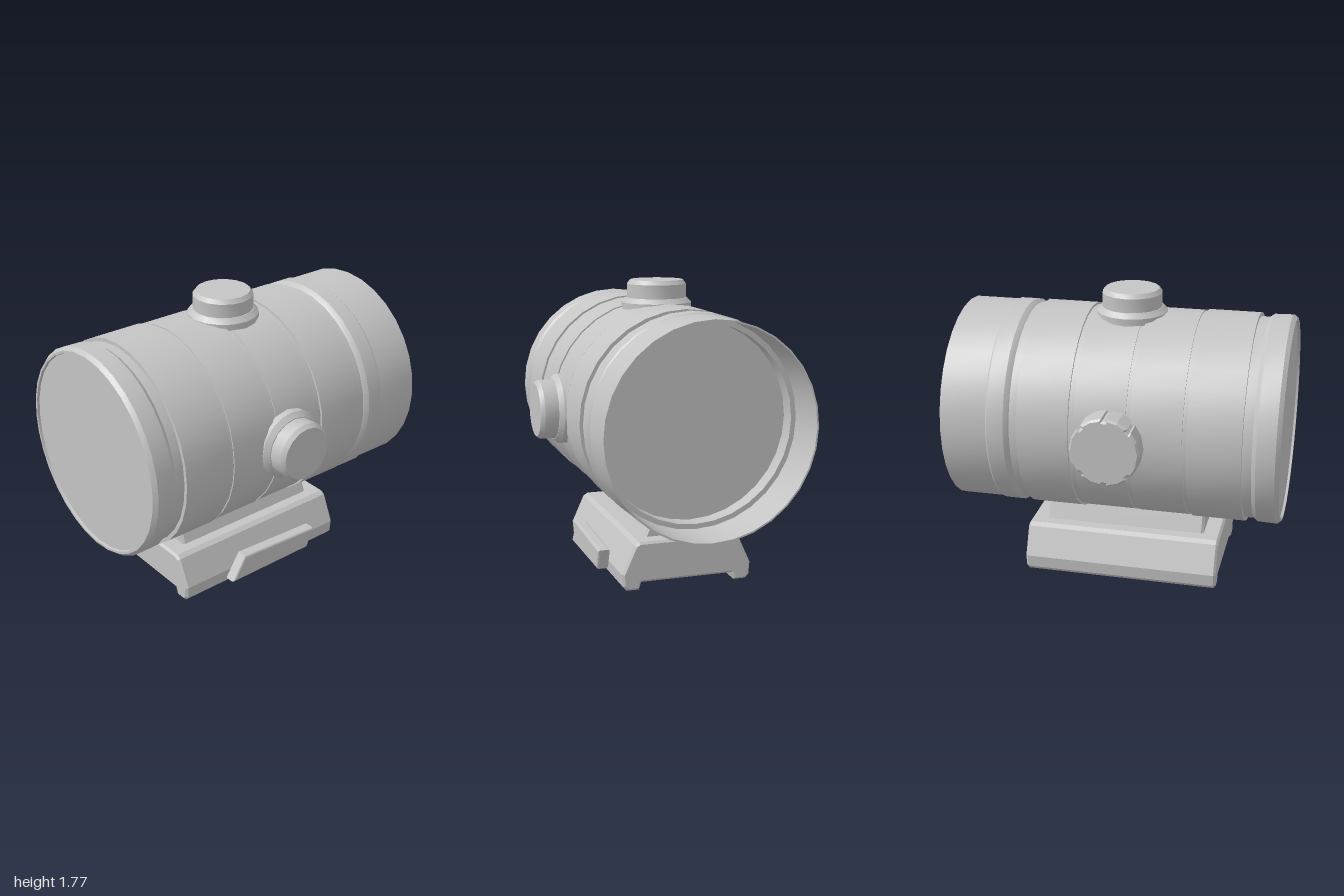
import * as THREE from 'three';
import { toCreasedNormals } from 'three/addons/utils/BufferGeometryUtils.js';

const CX = -0.012; // centre line of the tube
const CZ = 0.025;  // station of turrets and mount

export function createModel() {
  const model = new THREE.Group();
  const grey = new THREE.MeshStandardMaterial({ color: 0xc4c4c4 });
  grey.name = 'satin grey';

  const add = (name, geometry, x, y, z) => {
    const mesh = new THREE.Mesh(geometry, grey);
    mesh.name = name;
    mesh.position.set(x, y, z);
    model.add(mesh);
    return mesh;
  };
  const lathe = (pts, sides) => toCreasedNormals(
    new THREE.LatheGeometry(pts.map(([r, h]) => new THREE.Vector2(r, h)), sides), 0.45);
  const extrude = (pts, length, bevel, segments = 1) => {
    const g = new THREE.ExtrudeGeometry(new THREE.Shape(pts.map(p => new THREE.Vector2(...p))), {
      depth: length - 2 * bevel, bevelEnabled: true, bevelThickness: bevel,
      bevelSize: bevel, bevelOffset: -bevel, bevelSegments: segments,
    });
    return g.translate(0, 0, bevel - length / 2);
  };

  // Main tube: hollow rear hood, stepped rings, raised bands, closed front
  const tube = [
    [0, -0.62], [0.585, -0.62], [0.585, -0.72], [0.615, -0.72], [0.617, -1],
    [0.627, -1], [0.627, -0.72], [0.635, -0.71], [0.635, -0.61], [0.62, -0.585],
    [0.615, -0.58], [0.615, -0.53],
    [0.636, -0.53], [0.636, -0.22], [0.622, -0.22], [0.622, -0.19],
    [0.628, -0.19], [0.628, 0.115], [0.622, 0.115], [0.622, 0.14],
    [0.63, 0.14], [0.63, 0.445], [0.622, 0.445], [0.622, 0.47],
    [0.636, 0.47], [0.636, 0.785], [0.613, 0.785], [0.613, 0.84],
    [0.632, 0.865], [0.635, 0.975], [0.615, 1], [0.6, 1], [0.597, 0.985], [0, 0.985],
  ];
  add('tube', lathe(tube, 32).rotateX(Math.PI / 2), CX, 1.003, 0);

  // Adjustment turrets: flange, stem and bevelled cap, on top and on the left
  const turret = () => lathe([
    [0.215, 0.52], [0.215, 0.633], [0.187, 0.662], [0.182, 0.662],
    [0.182, 0.745], [0.163, 0.77], [0, 0.77],
  ], 16);
  add('topTurret', turret(), CX - 0.005, 1, CZ);
  add('sideTurret', turret().rotateZ(-Math.PI / 2), CX, 1, CZ);

  // Notched battery cap on the right
  const rim = [];
  const notches = [45, 90, 135, 225, 270, 315];
  for (let a = 0; a < 360; a += 22.5) {
    const at = (r, deg) => rim.push([r * Math.cos(deg * Math.PI / 180), r * Math.sin(deg * Math.PI / 180)]);
    if (notches.includes(a)) {
      at(0.207, a - 4); at(0.192, a - 3); at(0.192, a + 3); at(0.207, a + 4);
    } else at(0.207, a);
  }
  add('batteryCap', extrude(rim, 0.23, 0.012).rotateY(-Math.PI / 2), -0.64, 1.003, 0.02);

  // Neck between tube and clamp
  add('mountNeck', extrude(
    [[-0.24, 0.27], [0.24, 0.27], [0.185, 0.408], [-0.185, 0.408]], 1.0, 0.015), CX, 0, CZ);

  // Rail clamp with channel underneath
  const half = [[0.285, 0.045], [0.3, 0], [0.375, 0], [0.397, 0.025], [0.403, 0.1], [0.325, 0.272], [0.297, 0.29]];
  const mirrored = half.map(([x, y]) => [-x, y]).reverse();
  add('railClamp', extrude([...half, ...mirrored], 1.205, 0.014), -0.015, 0, 0.028);

  // Clamp lever on the left
  add('clampLever', extrude(
    [[-0.33, 0.055], [0.285, 0.055], [0.33, 0.185], [-0.235, 0.21]], 0.075, 0.014, 2)
    .rotateY(Math.PI / 2), 0.428, 0, 0);

  return model;
}
